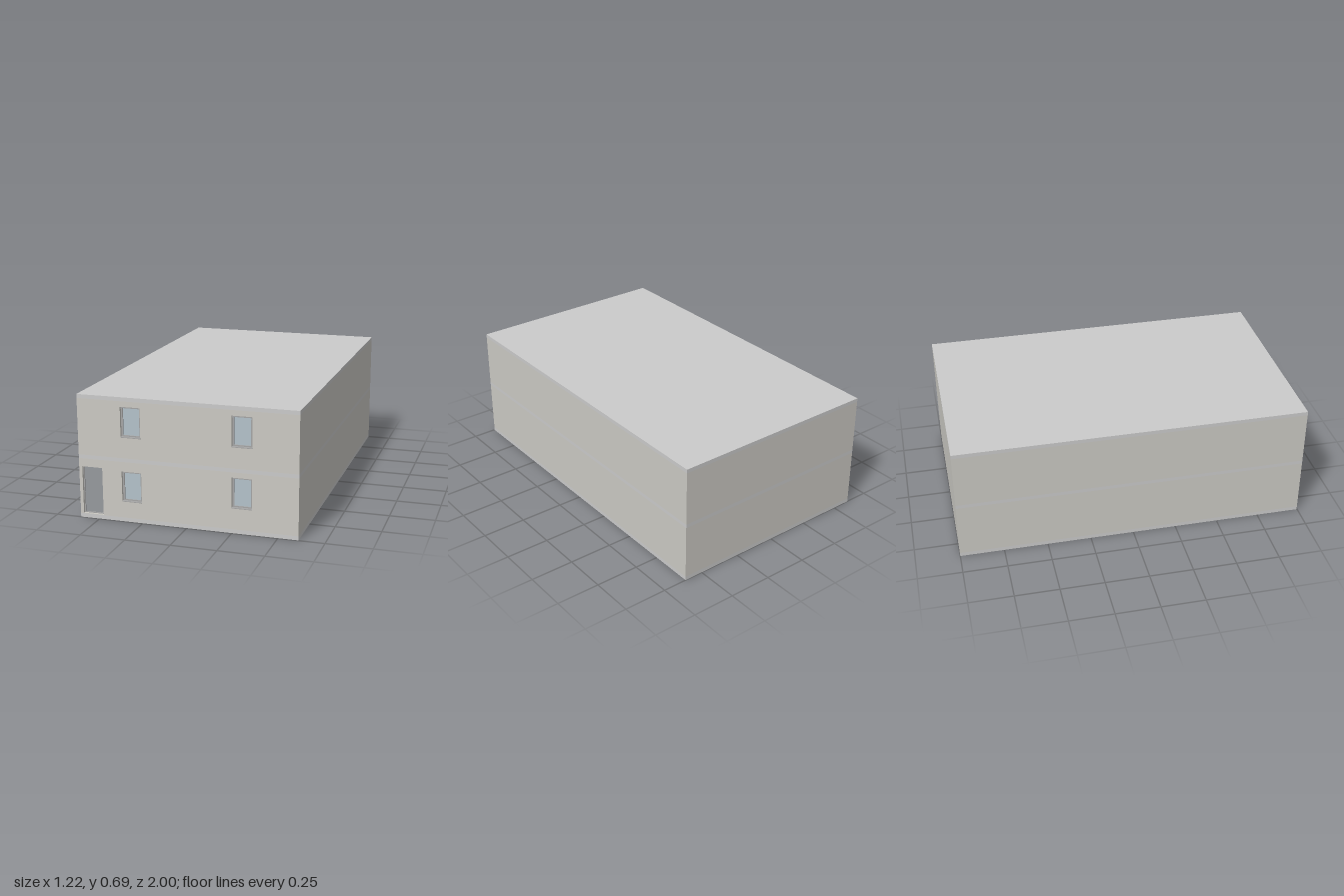
import * as THREE from 'three';

const W = 1.22, H = 0.69, BACK = -1, FRONT = 0.997, T = 0.04;
const material = (color) => new THREE.MeshStandardMaterial({ color });
const wallMat = material(0xcccac4), slabMat = material(0xc2c2c0), frameMat = material(0xa6a6a6);
const glassMat = material(0xb4c3cb), doorMat = material(0x979a9e);

// Openings as [x0, y0, x1, y1]
const door = [-0.592, 0.024, -0.476, 0.29];
const lowerWindows = [[-0.364, 0.113, -0.252, 0.281], [0.25, 0.138, 0.361, 0.306]];
const upperWindows = [[-0.364, 0.47, -0.252, 0.638], [0.25, 0.47, 0.361, 0.638]];

function box(name, parent, mat, x0, y0, z0, x1, y1, z1) {
  const mesh = new THREE.Mesh(new THREE.BoxGeometry(x1 - x0, y1 - y0, z1 - z0), mat);
  mesh.position.set((x0 + x1) / 2, (y0 + y1) / 2, (z0 + z1) / 2);
  mesh.name = name;
  parent.add(mesh);
}

function rectangle(target, [x0, y0, x1, y1]) {
  target.moveTo(x0, y0);
  target.lineTo(x1, y0);
  target.lineTo(x1, y1);
  target.lineTo(x0, y1);
  target.closePath();
  return target;
}

// Upright plate with rectangular holes, its front face at z
function plate(name, parent, mat, outline, holes, z, depth) {
  const shape = rectangle(new THREE.Shape(), outline);
  holes.forEach((h) => shape.holes.push(rectangle(new THREE.Path(), h)));
  const mesh = new THREE.Mesh(new THREE.ExtrudeGeometry(shape, { depth, bevelEnabled: false }), mat);
  mesh.position.z = z - depth;
  mesh.name = name;
  parent.add(mesh);
}

// Recessed frame around a panel of glass or a door leaf
function fitting(name, parent, [x0, y0, x1, y1], mat, border) {
  const group = new THREE.Group();
  group.name = name;
  const inner = [x0 + border, y0 + border, x1 - border, y1 - border];
  plate(name + 'Frame', group, frameMat, [x0, y0, x1, y1], [inner], FRONT - 0.014, 0.02);
  box(name + 'Panel', group, mat, inner[0], inner[1], FRONT - 0.03, inner[2], inner[3], FRONT - 0.02);
  parent.add(group);
  return group;
}

export function createModel() {
  const model = new THREE.Group();
  model.name = 'building';
  const x = W / 2;

  // Floor, middle and roof slabs, flush with the walls
  const slabs = [['floorSlab', 0, 0.022], ['middleSlab', 0.335, 0.356], ['roofSlab', 0.668, H]];
  slabs.forEach(([name, y0, y1]) => box(name, model, slabMat, -x, y0, BACK, x, y1, FRONT));

  // Walls of each storey
  const storeys = [
    ['lower', 0.022, 0.335, [door, ...lowerWindows]],
    ['upper', 0.356, 0.668, upperWindows],
  ];
  storeys.forEach(([name, y0, y1, holes]) => {
    plate(name + 'FrontWall', model, wallMat, [-x, y0, x, y1], holes, FRONT, T);
    box(name + 'BackWall', model, wallMat, -x, y0, BACK, x, y1, BACK + T);
    box(name + 'RightWall', model, wallMat, -x, y0, BACK + T, -x + T - 0.022, y1, FRONT - T);
    box(name + 'LeftWall', model, wallMat, x - T + 0.022, y0, BACK + T, x, y1, FRONT - T);
  });

  // Windows with thin projecting sills
  [...lowerWindows, ...upperWindows].forEach((w) => {
    const group = fitting('window', model, w, glassMat, 0.01);
    box('windowSill', group, frameMat, w[0], w[1], FRONT - 0.014, w[2], w[1] + 0.004, 1);
  });

  // Entrance door
  fitting('door', model, door, doorMat, 0.005);
  return model;
}
